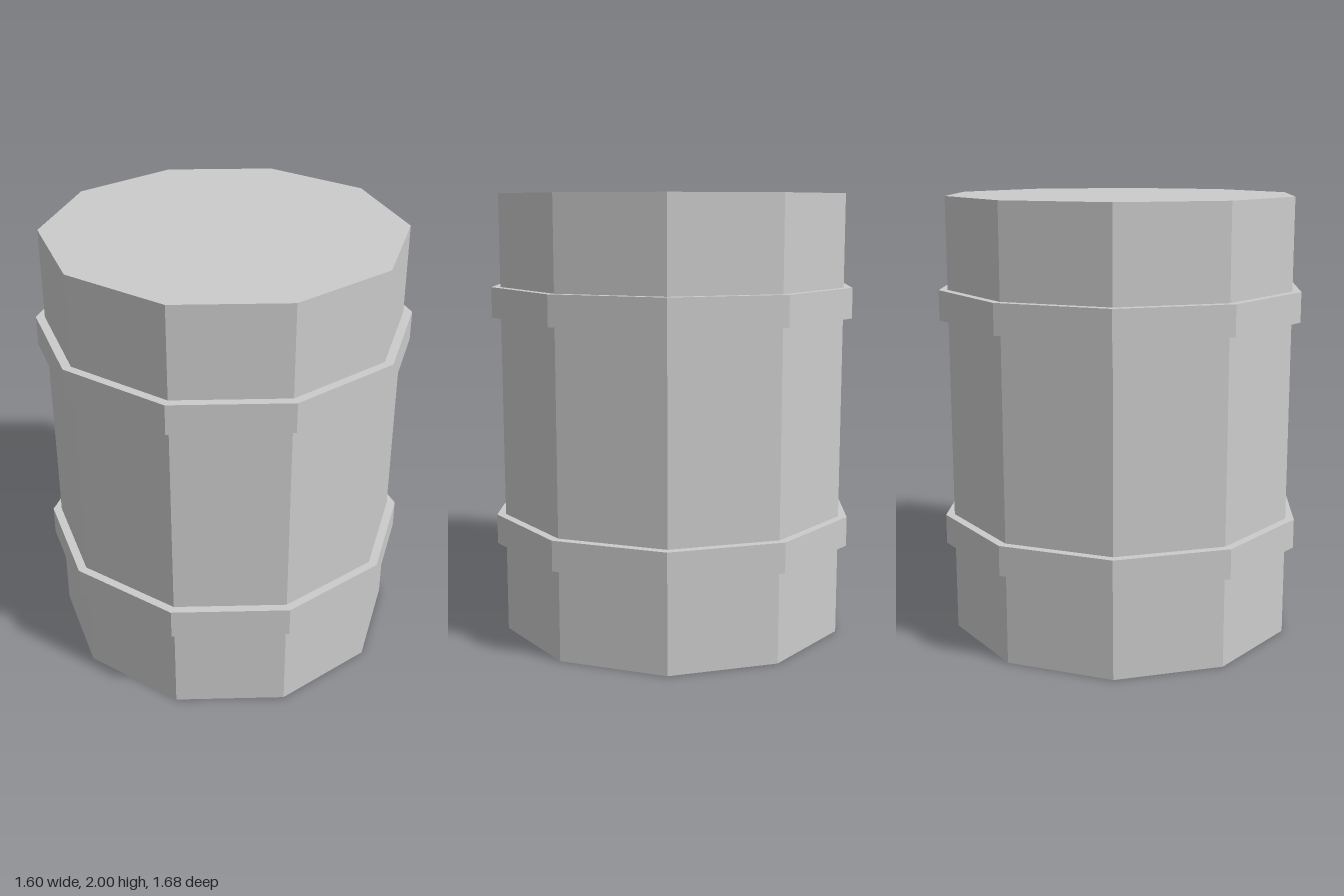
import * as THREE from 'three';

const SIDES = 10;

export function createModel() {
  const group = new THREE.Group();
  const material = new THREE.MeshStandardMaterial({ color: 0xcccccc, flatShading: true });

  // Ten-sided prism with a corner facing the front
  function addPrism(name, radius, bottom, top) {
    const geometry = new THREE.CylinderGeometry(radius, radius, top - bottom, SIDES);
    const mesh = new THREE.Mesh(geometry, material);
    mesh.name = name;
    mesh.position.y = (bottom + top) / 2;
    group.add(mesh);
  }

  // Barrel body
  addPrism('barrelBody', 0.8, 0, 2);

  // Raised hoops around the body
  addPrism('lowerHoop', 0.84, 0.415, 0.55);
  addPrism('upperHoop', 0.84, 1.455, 1.59);

  return group;
}
